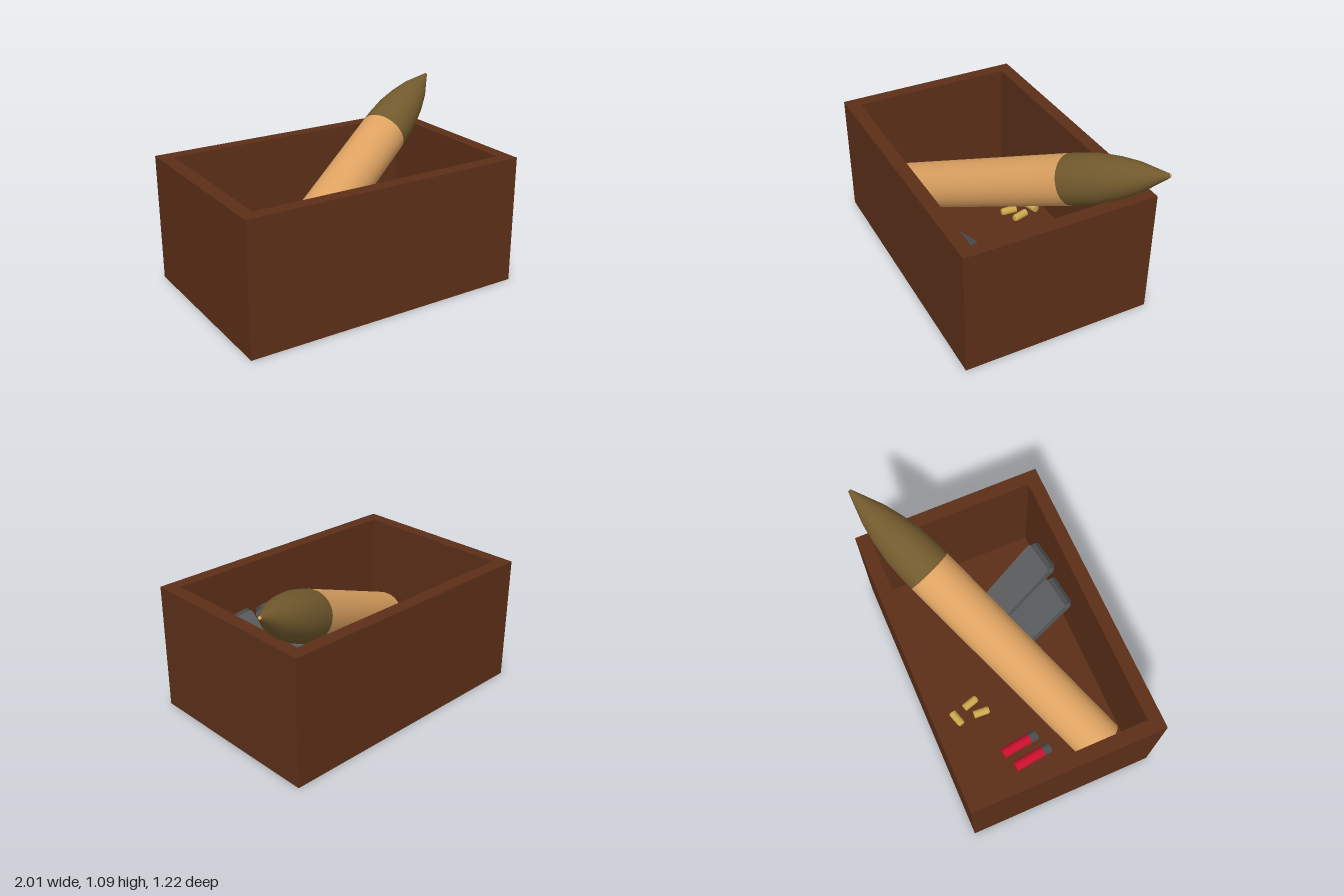
import * as THREE from 'three';

const FLOOR = 0.06;
const paint = (color, extra = {}) => {
  const m = new THREE.MeshStandardMaterial(extra);
  m.color.set(color);
  return m;
};
const wood = paint(0x5c2f18);
const tan = paint(0xdda261);
const olive = paint(0x725a2d);
const red = paint(0xc8102e);
const steel = paint(0x5a5c5e);
const darkSteel = paint(0x4a4c4e);
const brass = paint(0xc9a94c);

function part(parent, name, geometry, material, x = 0, y = 0, z = 0) {
  const mesh = new THREE.Mesh(geometry, material);
  mesh.name = name;
  mesh.position.set(x, y, z);
  parent.add(mesh);
  return mesh;
}

// Group whose local +y runs from one point to another
function along(name, from, to) {
  const g = new THREE.Group();
  const a = new THREE.Vector3(...from);
  const dir = new THREE.Vector3(...to).sub(a);
  g.name = name;
  g.position.copy(a);
  g.userData.length = dir.length();
  g.quaternion.setFromUnitVectors(new THREE.Vector3(0, 1, 0), dir.normalize());
  return g;
}

// Closed polygon shape from points
const polygon = (pts) => new THREE.Shape(pts.map(([x, y]) => new THREE.Vector2(x, y)));

// Open wooden crate: wall frame with a floor inside
function crate() {
  const g = new THREE.Group();
  g.name = 'crate';
  const frame = polygon([[-1, -0.605], [0.83, -0.605], [0.83, 0.61], [-1, 0.61]]);
  frame.holes.push(polygon([[-0.915, -0.52], [-0.915, 0.525], [0.745, 0.525], [0.745, -0.52]]));
  const walls = new THREE.ExtrudeGeometry(frame, { depth: 0.815, bevelEnabled: false });
  walls.rotateX(-Math.PI / 2);
  part(g, 'crateWalls', walls, wood);
  part(g, 'crateFloor', new THREE.BoxGeometry(1.66, FLOOR, 1.045), wood, -0.085, FLOOR / 2, 0.0025);
  return g;
}

// Large shell leaning out of the crate
function largeShell() {
  const g = along('largeShell', [-0.81, 0.175, 0.338], [1, 1.08, -0.54]);
  const len = g.userData.length;
  const seam = len - 0.67;
  const r = 0.154;
  part(g, 'shellCase', new THREE.CylinderGeometry(r, r, seam, 48), tan, 0, seam / 2, 0);
  const profile = [[r, 0], [0.153, 0.08], [0.145, 0.21], [0.12, 0.35], [0.087, 0.475], [0.01, 0.67]];
  const nose = new THREE.LatheGeometry(profile.map(([x, y]) => new THREE.Vector2(x, y)), 48);
  part(g, 'shellNose', nose, olive, 0, seam, 0);
  part(g, 'shellTip', new THREE.CylinderGeometry(0.008, 0.01, 0.004, 16), tan, 0, len, 0);
  return g;
}

// Box magazine propped against the front wall, base plate up
function magazine(x, z, yaw) {
  const g = new THREE.Group();
  g.name = 'magazine';
  const w = 0.112, c = 0.032, L = 0.55, t = 0.07;
  const outline = polygon([
    [-w + c, 0], [w - c, 0], [w, c * 1.5], [w, L - 0.02], [w - 0.01, L], [-w + 0.01, L], [-w, L - 0.02], [-w, c * 1.5],
  ]);
  part(g, 'magazineBody', new THREE.ExtrudeGeometry(outline, { depth: t, bevelEnabled: false }), steel);
  // Chamfered base plate
  const e = 0.012;
  const plate = polygon([[0, 0], [t - 0.01, 0], [t - 0.01, 0.012], [t - 0.01 - e, 0.024], [e, 0.024], [0, 0.012]]);
  const plateGeo = new THREE.ExtrudeGeometry(plate, { depth: 0.19, bevelEnabled: false });
  plateGeo.rotateY(-Math.PI / 2);
  part(g, 'magazineBasePlate', plateGeo, darkSteel, 0.095, L, 0.005);
  g.rotation.set(0.72, yaw, 0, 'YXZ');
  g.position.set(x, FLOOR + 0.055, z);
  return g;
}

// Red cartridge lying on the floor with a metal head
function redCartridge(from, to) {
  const r = 0.034, head = 0.052, y = FLOOR + r;
  const g = along('redCartridge', [from[0], y, from[1]], [to[0], y, to[1]]);
  const body = g.userData.length - head;
  part(g, 'cartridgeHull', new THREE.CylinderGeometry(r, r, body, 24), red, 0, body / 2, 0);
  part(g, 'cartridgeHead', new THREE.CylinderGeometry(r + 0.001, r + 0.001, head, 24), darkSteel, 0, body + head / 2, 0);
  return g;
}

// Small brass round lying on the floor
function brassRound(from, to) {
  const r = 0.025, y = FLOOR + r;
  const g = along('brassRound', [from[0], y, from[1]], [to[0], y, to[1]]);
  const len = g.userData.length;
  part(g, 'roundCase', new THREE.CylinderGeometry(r, r, len - 0.012, 20), brass, 0, len / 2 - 0.006, 0);
  part(g, 'roundEnd', new THREE.CylinderGeometry(r * 0.8, r, 0.012, 20), brass, 0, len - 0.006, 0);
  return g;
}

export function createModel() {
  const model = new THREE.Group();
  model.name = 'ammunitionCrate';
  model.add(
    crate(),
    largeShell(),
    magazine(0.065, 0.075, 0.13),
    magazine(0.32, 0.08, 0.16),
    redCartridge([-0.73, -0.21], [-0.7, 0.045]),
    redCartridge([-0.62, -0.25], [-0.59, 0]),
    brassRound([-0.237, -0.445], [-0.333, -0.415]),
    brassRound([-0.305, -0.32], [-0.312, -0.215]),
    brassRound([-0.237, -0.36], [-0.208, -0.26]),
  );
  return model;
}
